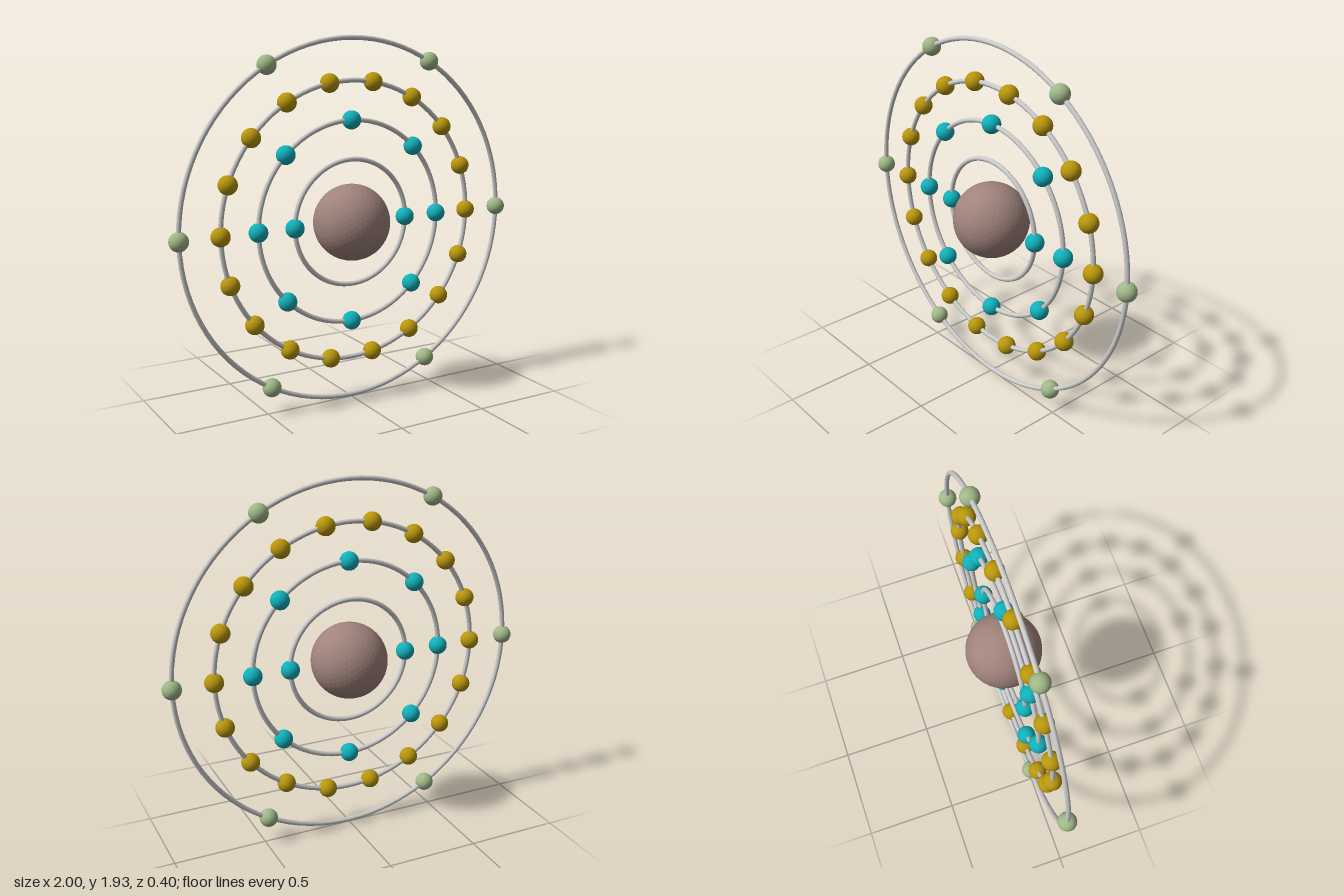
import * as THREE from 'three';

const CENTER_Y = 0.964;
const TUBE = 0.0125;
const BALL = 0.049;

const material = (color, flatShading = false) => new THREE.MeshStandardMaterial({ color, flatShading });

export function createModel() {
  const model = new THREE.Group();
  model.name = 'atomModel';

  const ringMat = material(0xcccccc);
  const teal = material(0x10b0ba);
  const gold = material(0xb8960c);
  const green = material(0xa0b888);

  // Central nucleus
  const nucleus = new THREE.Mesh(new THREE.IcosahedronGeometry(0.202, 7), material(0xa0837c, true));
  nucleus.name = 'nucleus';
  nucleus.position.y = CENTER_Y;
  model.add(nucleus);

  // Concentric shells in the XY plane, each with evenly spaced electrons
  const shells = [
    { radius: 0.332, count: 2, mat: teal },
    { radius: 0.535, count: 8, mat: teal },
    { radius: 0.737, count: 18, mat: gold },
    { radius: 0.951, count: 6, mat: green },
  ];
  const ballGeo = new THREE.IcosahedronGeometry(BALL, 7);

  shells.forEach(({ radius, count, mat }, i) => {
    const shell = new THREE.Group();
    shell.name = `shell${i + 1}`;
    shell.position.y = CENTER_Y;

    const ring = new THREE.Mesh(new THREE.TorusGeometry(radius, TUBE, 12, 96), ringMat);
    ring.name = 'orbitRing';
    shell.add(ring);

    for (let k = 0; k < count; k++) {
      const a = (k / count) * Math.PI * 2;
      const electron = new THREE.Mesh(ballGeo, mat);
      electron.name = 'electron';
      electron.position.set(radius * Math.cos(a), radius * Math.sin(a), 0);
      shell.add(electron);
    }
    model.add(shell);
  });

  return model;
}
